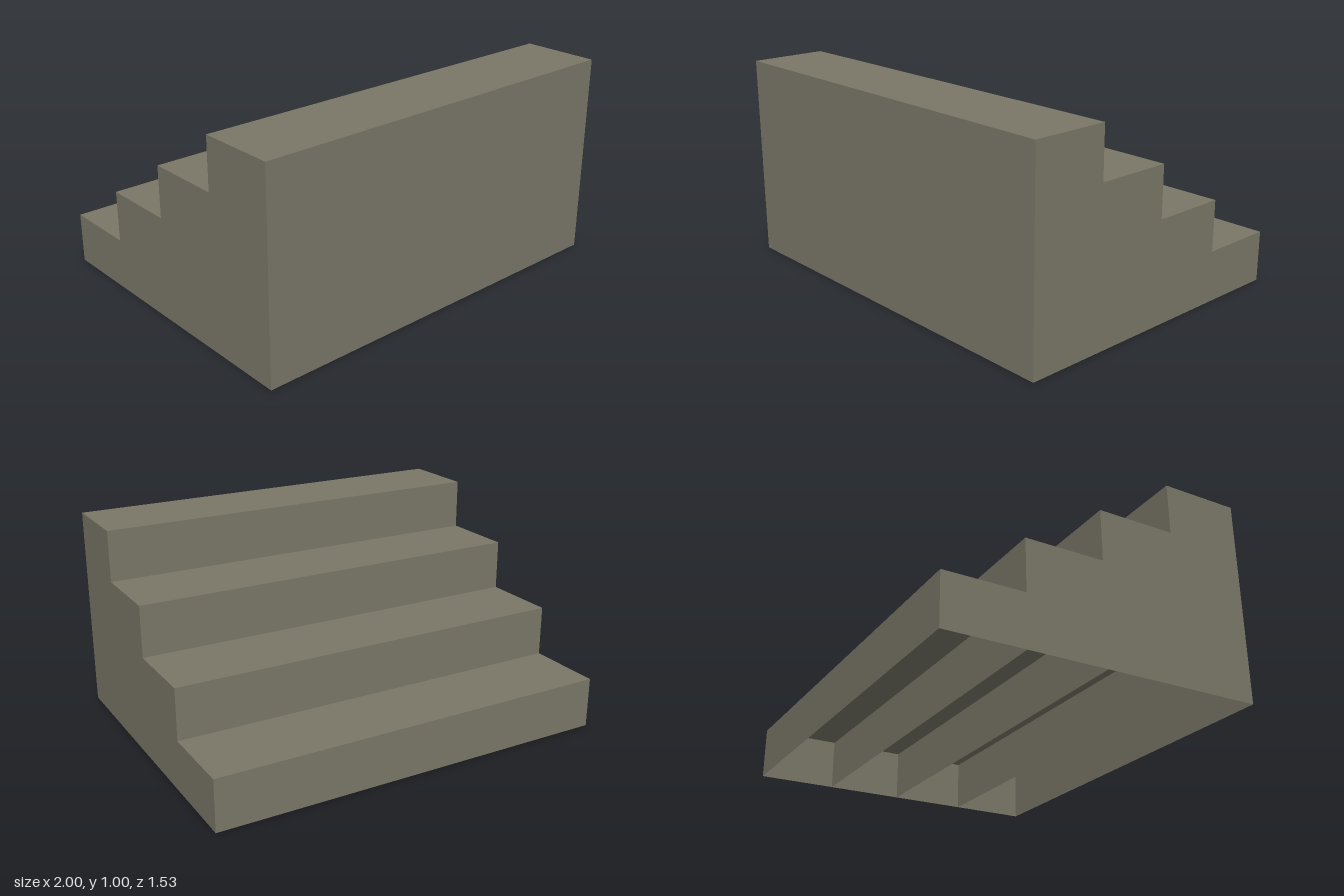
import * as THREE from 'three';

const WIDTH = 2, RISE = 0.25, RUN = 0.3815, STEPS = 4;

// Box with its underside left open, standing on y = 0
function openBox(height) {
  const geometry = new THREE.BoxGeometry(WIDTH, height, RUN);
  const index = Array.from(geometry.index.array);
  index.splice(18, 6); // drop the bottom face
  geometry.setIndex(index);
  geometry.clearGroups();
  return geometry.translate(0, height / 2, 0);
}

export function createModel() {
  const stone = new THREE.MeshStandardMaterial({ color: 0x7a7768, side: THREE.DoubleSide });
  stone.name = 'stone';

  const stairs = new THREE.Group();
  stairs.name = 'stairs';

  // Steps climb from the back towards the front
  for (let i = 0; i < STEPS; i++) {
    const z = (i - (STEPS - 1) / 2) * RUN;

    // Hollow cell under each step, open to the ground
    const base = new THREE.Mesh(openBox(RISE), stone);
    base.name = `baseCell${i + 1}`;
    base.position.z = z;
    stairs.add(base);

    // Block that lifts the step to its height
    if (i > 0) {
      const block = new THREE.Mesh(openBox(RISE * i), stone);
      block.name = `stepBlock${i + 1}`;
      block.position.set(0, RISE, z);
      stairs.add(block);
    }
  }
  return stairs;
}
